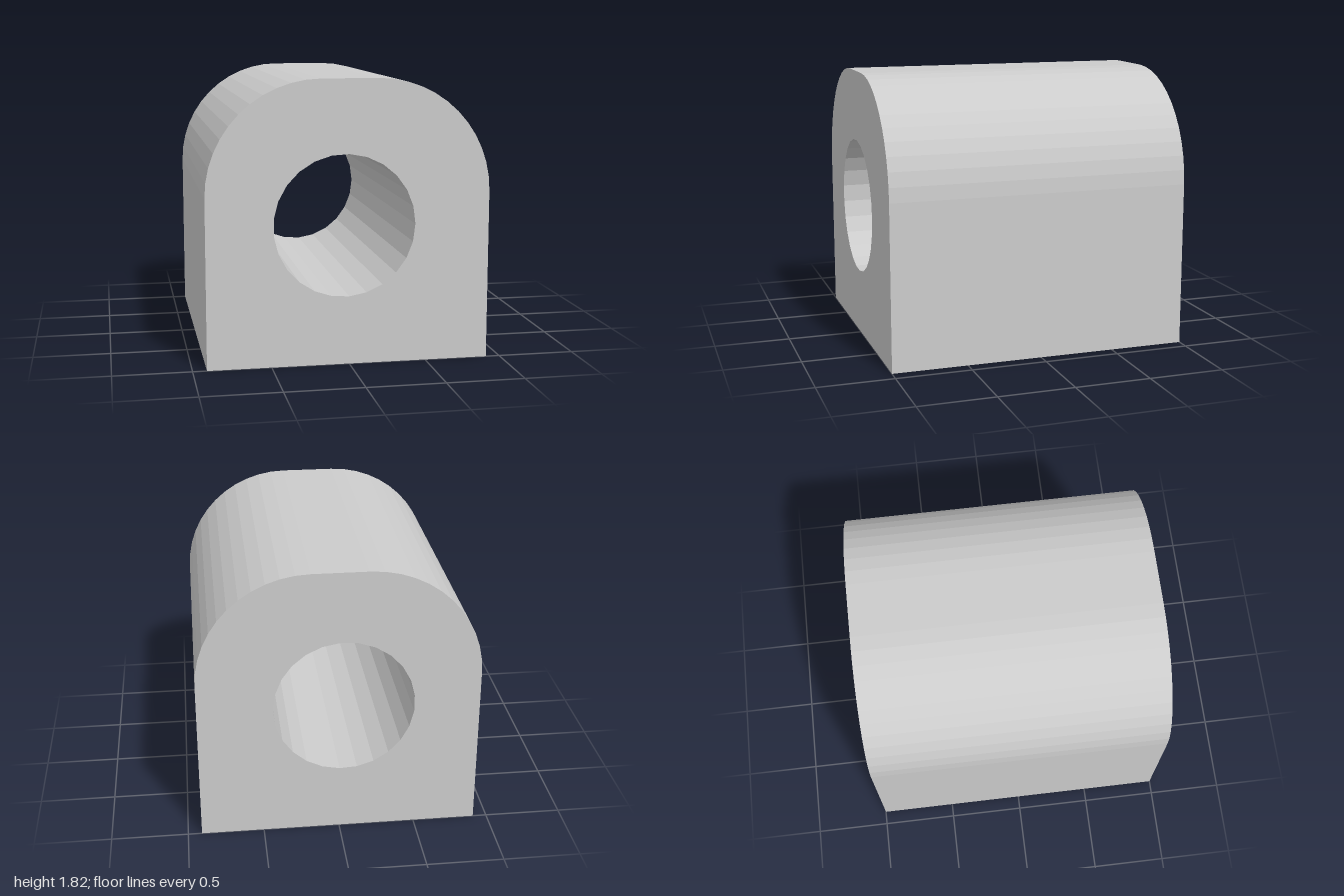
import * as THREE from 'three';

export function createModel() {
  const model = new THREE.Group();
  const w = 0.91, h = 1.82, r = 0.73, depth = 2;

  // Block outline: square base, large rounded upper corners
  const outline = new THREE.Shape();
  outline.moveTo(-w, 0);
  outline.lineTo(w, 0);
  outline.lineTo(w, h - r);
  outline.absarc(w - r, h - r, r, 0, Math.PI / 2, false);
  outline.lineTo(r - w, h);
  outline.absarc(r - w, h - r, r, Math.PI / 2, Math.PI, false);
  outline.closePath();

  // Through bore: 25 sides, slightly off centre
  const sides = 25, boreRadius = 0.455;
  const bore = [];
  for (let i = 0; i < sides; i++) {
    const a = (-i / sides) * Math.PI * 2;
    bore.push(new THREE.Vector2(-0.03 + boreRadius * Math.cos(a), 0.895 + boreRadius * Math.sin(a)));
  }
  outline.holes.push(new THREE.Path(bore).closePath());

  // Arcs are divided into twice curveSegments: 12 facets per corner
  const geometry = new THREE.ExtrudeGeometry(outline, { depth, bevelEnabled: false, curveSegments: 6 });
  geometry.translate(0, 0, -depth / 2);

  const block = new THREE.Mesh(
    geometry,
    new THREE.MeshStandardMaterial({ color: 0xcccccc, flatShading: true })
  );
  block.name = 'boredBlock';
  model.add(block);
  return model;
}
